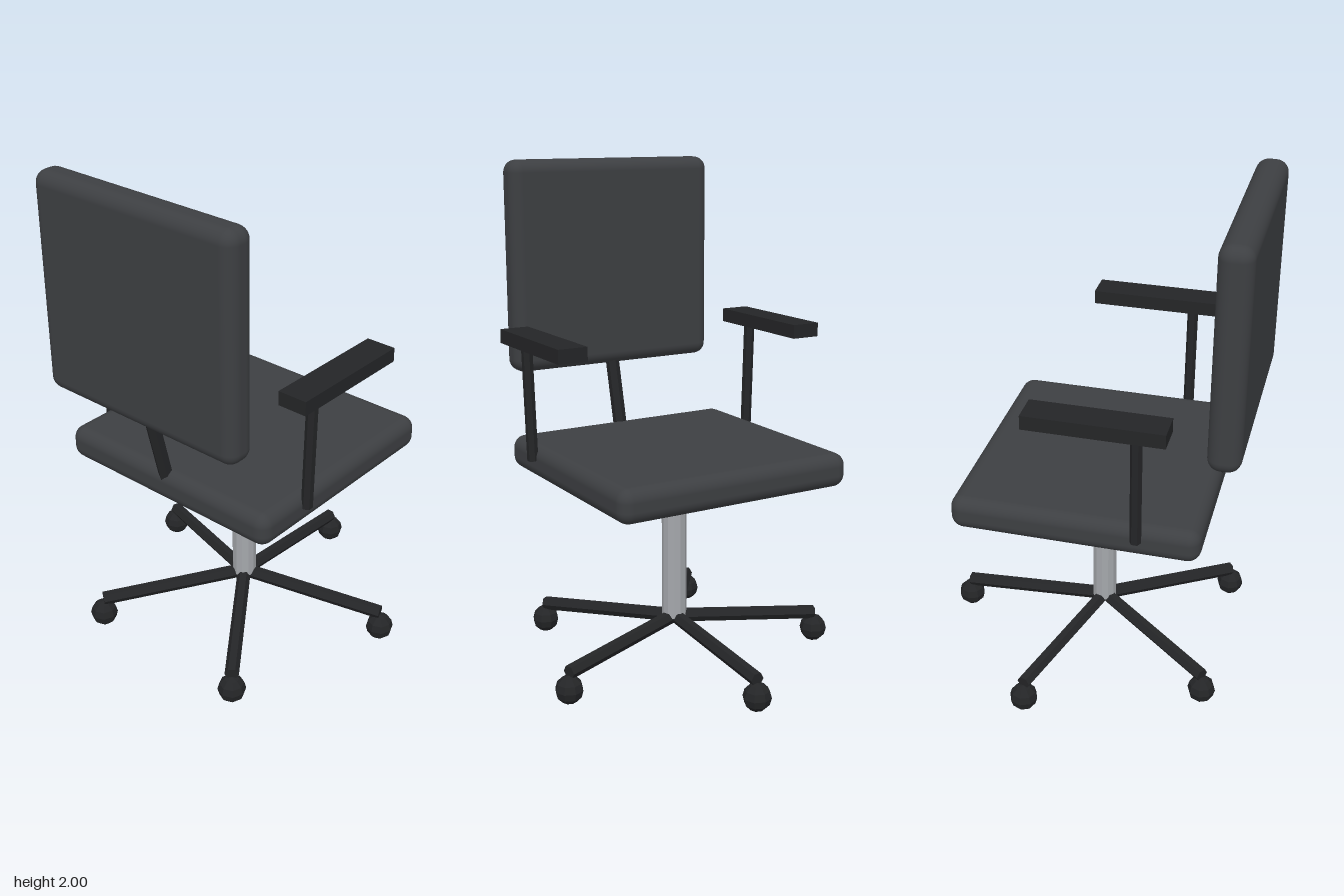
import * as THREE from 'three';
import { RoundedBoxGeometry } from 'three/addons/geometries/RoundedBoxGeometry.js';

const Z0 = 0.03; // centre of the swivel base

export function createModel() {
  const chair = new THREE.Group();
  chair.name = 'officeChair';

  const cushion = new THREE.MeshStandardMaterial({ color: 0x3d3f42 });
  const plastic = new THREE.MeshStandardMaterial({ color: 0x242527, flatShading: true });
  const metal = new THREE.MeshStandardMaterial({ color: 0xa4a7ab, flatShading: true });

  function add(name, geometry, material, x, y, z) {
    const mesh = new THREE.Mesh(geometry, material);
    mesh.name = name;
    mesh.position.set(x, y, z);
    chair.add(mesh);
    return mesh;
  }

  // Straight round bar between two points
  function bar(name, from, to, radius, sides, material) {
    const a = new THREE.Vector3(...from);
    const b = new THREE.Vector3(...to);
    const dir = b.clone().sub(a);
    const geometry = new THREE.CylinderGeometry(radius, radius, dir.length(), sides);
    const mid = a.add(b).multiplyScalar(0.5);
    const mesh = add(name, geometry, material, mid.x, mid.y, mid.z);
    mesh.quaternion.setFromUnitVectors(new THREE.Vector3(0, 1, 0), dir.normalize());
    return mesh;
  }

  // Cushions
  add('seat', new RoundedBoxGeometry(1, 0.135, 0.96, 4, 0.05), cushion, 0, 0.833, 0.025);
  add('backrest', new RoundedBoxGeometry(0.916, 0.855, 0.124, 4, 0.05), cushion, 0, 1.5725, 0.563);
  bar('backrestPost', [0, 0.86, 0.475], [0, 1.2, 0.555], 0.028, 6, plastic);

  // Armrests, mirrored
  for (const side of [-1, 1]) {
    add('armrest', new THREE.BoxGeometry(0.118, 0.055, 0.517), plastic, side * 0.519, 1.3325, 0.126);
    bar('armrestPost', [side * 0.507, 0.845, 0.27], [side * 0.52, 1.32, 0.27], 0.022, 6, plastic);
  }

  // Central column
  bar('column', [0, 0.17, Z0], [0, 0.79, Z0], 0.05, 12, metal);

  // Five-legged base with casters, one leg pointing to -z
  for (let i = 0; i < 5; i++) {
    const angle = (i / 5) * Math.PI * 2;
    const x = Math.sin(angle) * 0.605;
    const z = Z0 - Math.cos(angle) * 0.605;
    const leg = bar('baseLeg', [0, 0.168, Z0], [x, 0.125, z], 0.028, 6, plastic);
    // aim the bar with a yaw and a pitch so its flat sides face up and down
    leg.rotation.set(-Math.PI / 2 - 0.071, -angle, 0, 'YXZ');
    leg.rotateY(Math.PI / 2);
    add('caster', new THREE.SphereGeometry(0.056, 8, 6), plastic, x, 0.056, z);
  }

  return chair;
}
